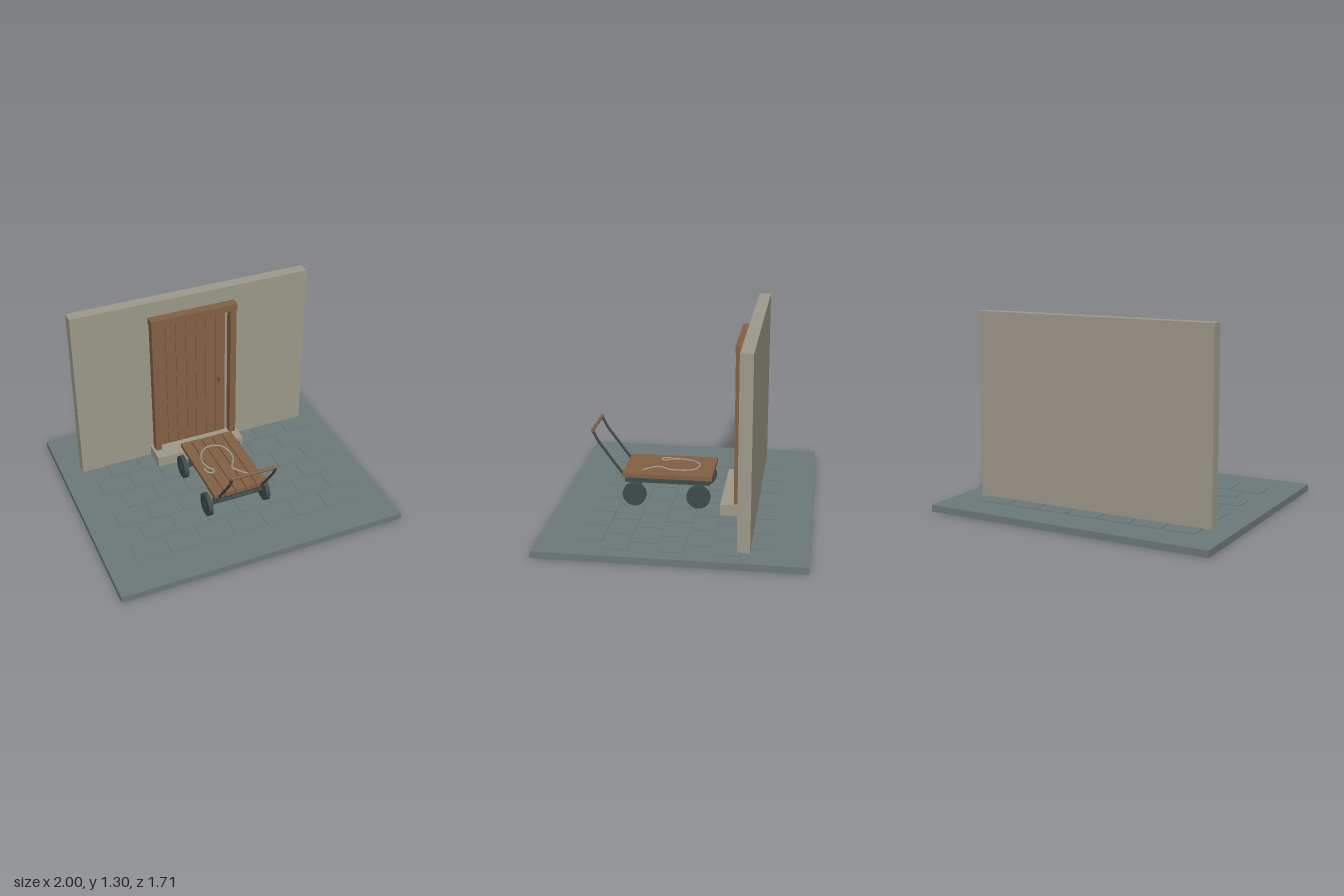
import * as THREE from 'three';

const mat = (name, color) => {
  const m = new THREE.MeshStandardMaterial({ color });
  m.name = name;
  return m;
};

export function createModel() {
  const root = new THREE.Group();
  root.name = 'doorwayWithCart';
  const paving = mat('slateGrey', 0x6e797b);
  const plaster = mat('paleStone', 0x9e9a8c);
  const wood = mat('brownWood', 0x846244);
  const iron = mat('darkIron', 0x414b4b);

  const add = (parent, name, geometry, material) => {
    const mesh = new THREE.Mesh(geometry, material);
    mesh.name = name;
    parent.add(mesh);
    return mesh;
  };
  // Box given by its minimum and maximum on each axis
  const box = (parent, name, material, x0, x1, y0, y1, z0, z1) => {
    const mesh = add(parent, name, new THREE.BoxGeometry(x1 - x0, y1 - y0, z1 - z0), material);
    mesh.position.set((x0 + x1) / 2, (y0 + y1) / 2, (z0 + z1) / 2);
    return mesh;
  };
  // Round bar lying along x
  const barX = (parent, name, material, radius, x0, x1, y, z, sides = 16) => {
    const g = new THREE.CylinderGeometry(radius, radius, x1 - x0, sides).rotateZ(Math.PI / 2);
    const mesh = add(parent, name, g, material);
    mesh.position.set((x0 + x1) / 2, y, z);
    return mesh;
  };
  const group = (name) => {
    const g = new THREE.Group();
    g.name = name;
    root.add(g);
    return g;
  };

  // Ground slab with running-bond paving stones
  const ground = group('ground');
  box(ground, 'groundSlab', paving, -1, 1, 0, 0.045, -0.855, 0.855);
  const pitchX = 0.2283, pitchZ = 0.1757, gap = 0.005;
  for (let row = 0; row < 7; row++) {
    const startX = row % 2 ? -0.687 : -0.801;
    const z = -0.62 + row * pitchZ;
    for (let col = 0; col < 7; col++) {
      const x = startX + col * pitchX;
      box(ground, 'pavingStone', paving, x + gap, x + pitchX - gap, 0.04, 0.049, z + gap, z + pitchZ - gap);
    }
  }

  // Wall and doorstep
  box(root, 'wall', plaster, -0.855, 0.855, 0.045, 1.305, -0.492, -0.41);
  box(root, 'doorstep', plaster, -0.34, 0.315, 0.045, 0.125, -0.25, -0.41);
  root.children.at(-1).geometry = new THREE.BoxGeometry(0.655, 0.08, 0.16);

  // Door of seven boards inside a timber frame
  const door = group('door');
  for (let i = 0; i < 7; i++) {
    const x = -0.281 + i * 0.0733;
    box(door, 'doorBoard', wood, x + 0.001, x + 0.0715, 0.125, 1.12, -0.41, -0.391);
  }
  box(door, 'leftPost', wood, 0.25, 0.295, 0.12, 1.157, -0.397, -0.34);
  box(door, 'rightPost', wood, -0.322, -0.279, 0.12, 1.157, -0.397, -0.34);
  box(door, 'lintel', wood, -0.326, 0.3, 1.155, 1.202, -0.402, -0.337);
  barX(door, 'handleStem', iron, 0.005, -0.012, 0.012, 0, 0).rotation.y = Math.PI / 2;
  door.children.at(-1).position.set(0.174, 0.596, -0.38);
  const knob = add(door, 'doorKnob', new THREE.SphereGeometry(0.01, 16, 10), iron);
  knob.position.set(0.174, 0.596, -0.367);

  // Cart
  const cart = group('cart');
  cart.position.x = -0.003;
  for (let i = -2; i <= 2; i++) {
    const x = i * 0.0775;
    box(cart, 'bedPlank', wood, x - 0.0355, x + 0.0355, 0.235, 0.264, -0.182, 0.427);
  }
  for (const z of [-0.145, 0.395]) {
    box(cart, 'crossBeam', iron, -0.16, 0.16, 0.2, 0.235, z - 0.015, z + 0.015);
  }
  for (const s of [-1, 1]) {
    box(cart, 'sideRail', iron, s * 0.152 - 0.013, s * 0.152 + 0.013, 0.193, 0.235, -0.163, 0.413);
  }

  // Axles, brackets and wheels
  for (const z of [-0.094, 0.34]) {
    barX(cart, 'axle', iron, 0.014, -0.215, 0.215, 0.128, z);
    for (const s of [-1, 1]) {
      box(cart, 'axleBracket', iron, s * 0.152 - 0.01, s * 0.152 + 0.01, 0.125, 0.195, z - 0.015, z + 0.015);
      barX(cart, 'wheel', iron, 0.08, s * 0.21 - 0.015, s * 0.21 + 0.015, 0.128, z, 28);
      barX(cart, 'wheelHub', iron, 0.022, s * 0.21 - 0.02, s * 0.21 + 0.02, 0.128, z);
    }
  }

  // Bent pull handle: two iron arms joined by a wooden grip
  const armPoints = [[0.415, 0.23], [0.59, 0.468], [0.631, 0.55]];
  for (const s of [-1, 1]) {
    const path = new THREE.CurvePath();
    const pts = armPoints.map(([z, y]) => new THREE.Vector3(s * 0.153, y, z));
    const near = pts[1].clone().lerp(pts[0], 0.08);
    const far = pts[1].clone().lerp(pts[2], 0.25);
    path.add(new THREE.LineCurve3(pts[0], near));
    path.add(new THREE.QuadraticBezierCurve3(near, pts[1], far));
    path.add(new THREE.LineCurve3(far, pts[2]));
    add(cart, 'handleArm', new THREE.TubeGeometry(path, 40, 0.009, 10), iron);
  }
  barX(cart, 'handleGrip', wood, 0.011, -0.163, 0.163, 0.55, 0.629);

  // Loose rope lying on the cart bed
  const ropePoints = [
    [-0.147, 0.139], [-0.138, 0.182], [-0.108, 0.199], [-0.088, 0.18], [-0.115, 0.14],
    [-0.126, 0.059], [-0.097, -0.027], [-0.045, -0.07], [0.013, -0.073], [0.067, -0.037],
    [0.088, 0.043], [0.08, 0.118], [0.037, 0.2], [0.06, 0.245], [0.112, 0.305],
  ].map(([x, z]) => new THREE.Vector3(x, 0.263, z));
  const rope = new THREE.TubeGeometry(new THREE.CatmullRomCurve3(ropePoints), 120, 0.007, 8);
  add(cart, 'rope', rope, plaster);

  return root;
}
